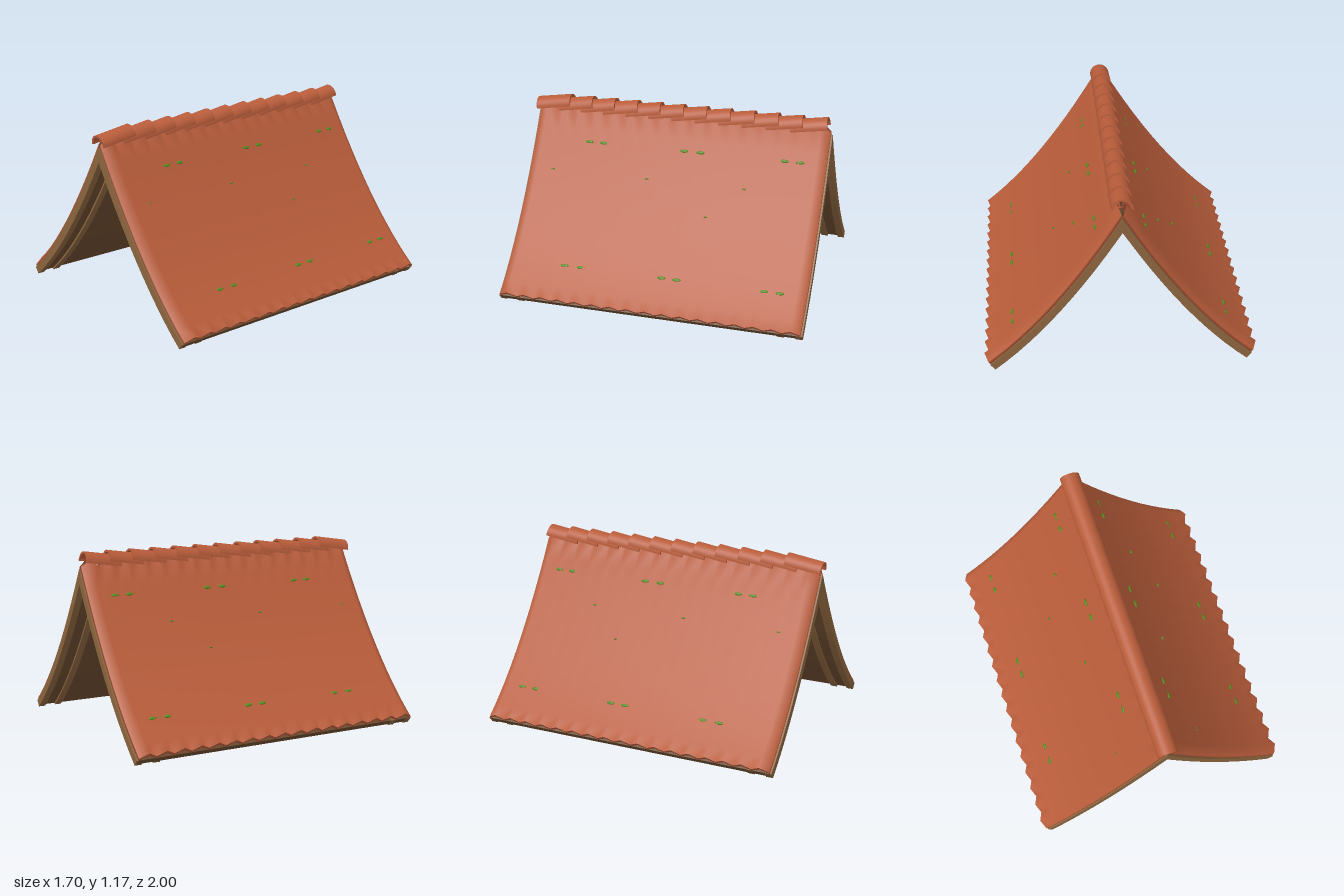
import * as THREE from 'three';
import { toCreasedNormals } from 'three/addons/utils/BufferGeometryUtils.js';

const mat = (name, color, side = THREE.FrontSide) => {
  const m = new THREE.MeshStandardMaterial({ color, side });
  m.name = name;
  return m;
};

// Sagging roof line on the +x slope, moved by d along its normal
const EAVE_X = 0.815;
const SEGMENTS = 12;
const slope = (x) => 1.69 - 1.08 * x;
function roofPoint(x, d) {
  const s = slope(x), len = Math.hypot(s, 1);
  return new THREE.Vector2(x + (d * s) / len, 1.06 - 1.69 * x + 0.54 * x * x + d / len);
}

// Gable-shaped slab of the given depth under the roof line
function gableSlab(depth, width) {
  const outer = [], inner = [];
  for (let i = 0; i <= SEGMENTS; i++) {
    const x = (EAVE_X * i) / SEGMENTS;
    outer.push(roofPoint(x, 0));
    const p = roofPoint(x, -depth);
    if (i === 0) p.set(0, 1.06 - depth * Math.hypot(slope(0), 1)); // mitre at the apex
    inner.push(p);
  }
  const flip = (p) => new THREE.Vector2(-p.x, p.y);
  const pts = [
    ...inner,
    ...outer.slice().reverse(),
    ...outer.slice(1).map(flip),
    ...inner.slice(1).reverse().map(flip),
  ];
  const geo = new THREE.ExtrudeGeometry(new THREE.Shape(pts), { depth: width, bevelEnabled: false });
  geo.translate(0, 0, -width / 2);
  return geo;
}

// Smooth grid of points(u, v); flipped winding for the mirrored slope
function grid(nu, nv, point, flip) {
  const pos = [], index = [];
  for (let u = 0; u <= nu; u++) for (let v = 0; v <= nv; v++) pos.push(...point(u, v));
  for (let u = 0; u < nu; u++) {
    for (let v = 0; v < nv; v++) {
      const a = u * (nv + 1) + v, b = a + 1, c = a + nv + 1, d = c + 1;
      if (flip) index.push(a, c, b, b, c, d);
      else index.push(a, b, c, b, d, c);
    }
  }
  const geo = new THREE.BufferGeometry();
  geo.setAttribute('position', new THREE.Float32BufferAttribute(pos, 3));
  geo.setIndex(index);
  geo.computeVertexNormals();
  return geo;
}

export function createModel() {
  const model = new THREE.Group();
  const clay = mat('terracotta', 0xb85c3a, THREE.DoubleSide);
  const wood = mat('light wood', 0x8c653e);
  const darkWood = mat('dark wood', 0x6b4a2e);
  const moss = mat('moss green', 0x568c1e);

  const add = (name, geo, material, parent = model) => {
    const mesh = new THREE.Mesh(geo, material);
    mesh.name = name;
    parent.add(mesh);
    return mesh;
  };

  // Boarding and the two pairs of gable rafters
  add('roofBoarding', gableSlab(0.036, 1.96), darkWood);
  const rafter = gableSlab(0.048, 0.045);
  for (const z of [-0.973, -0.855, 0.855, 0.973]) add('rafter', rafter, wood).position.z = z;

  // Corrugated tile sheets: zigzag of 17 waves, top and underside in one loop
  const WAVES = 34, HALF = 0.985;
  const section = [];
  for (let k = 0; k <= WAVES; k++) section.push([-HALF + (2 * HALF * k) / WAVES, k % 2 ? 0.056 : 0.018]);
  for (let k = WAVES; k >= 0; k--) section.push([-HALF + (2 * HALF * k) / WAVES, k % 2 ? 0.035 : 0.001]);
  section.push(section[0]);

  // Moss flecks: roof-line x, then z positions
  const flecks = [
    [0.11, 0.014, [0.59, 0.49, -0.06, -0.17, -0.72, -0.82]],
    [0.635, 0.014, [0.59, 0.48, -0.06, -0.16, -0.72, -0.82]],
    [0.226, 0.007, [0.81, 0.16, -0.49]],
    [0.35, 0.006, [-0.27]],
  ];
  const fleckGeo = new THREE.SphereGeometry(1, 8, 6);

  for (const s of [1, -1]) {
    const side = new THREE.Group();
    side.name = s > 0 ? 'leftSlope' : 'rightSlope';
    model.add(side);

    const sheetPoint = (u, [z, d]) => {
      const p = roofPoint((EAVE_X * u) / SEGMENTS, d);
      if (u === 0) { // close the sheet up towards the ridge
        p.y += p.x * 0.4 * slope(0);
        p.x *= 0.6;
      }
      return [s * p.x, p.y, z];
    };
    add('tileSheet', grid(SEGMENTS, section.length - 1, (u, v) => sheetPoint(u, section[v]), s < 0), clay, side);
    const eavePoint = (u, v) => sheetPoint(SEGMENTS, section[u ? 2 * WAVES + 1 - v : v]);
    add('tileEaveEdge', grid(1, WAVES, eavePoint, s < 0), clay, side);

    for (const [x, size, zs] of flecks) {
      for (const z of zs) {
        const p = roofPoint(x, 0.05);
        const m = add('mossFleck', fleckGeo, moss, side);
        m.position.set(s * p.x, p.y, z);
        m.rotation.z = -s * Math.atan(slope(x));
        m.scale.set(size * 0.8, 0.007, size * 2);
      }
    }
  }

  // Overlapping half-round ridge tiles, each tipped down towards the front
  const arch = new THREE.Shape();
  arch.absarc(0, 0, 0.066, 0, Math.PI, false);
  arch.absarc(0, 0, 0.052, Math.PI, 0, true);
  const ridgeGeo = toCreasedNormals(
    new THREE.ExtrudeGeometry(arch, { depth: 0.24, bevelEnabled: false, curveSegments: 10 }), 0.7);
  for (let i = 0; i < 12; i++) {
    const tile = add('ridgeTile', ridgeGeo, clay);
    tile.position.set(0, 1.108, -0.97 + 0.157 * i);
    tile.rotation.x = 0.15;
  }
  return model;
}
